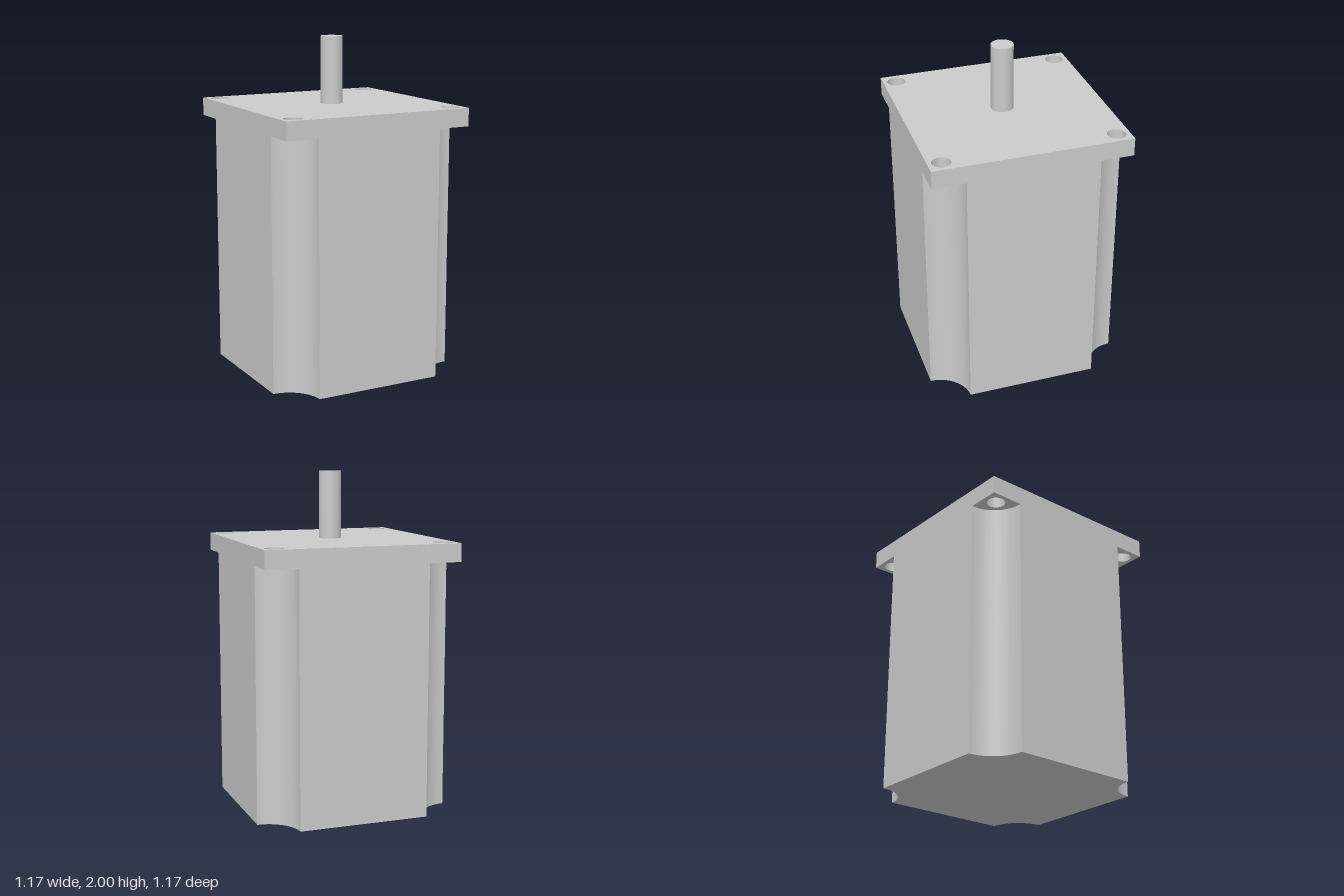
import * as THREE from 'three';
import { toCreasedNormals } from 'three/addons/utils/BufferGeometryUtils.js';

const HALF = 0.586;        // half width of body and flange
const NOTCH = 0.196;       // radius of the scooped corners
const HOLE_POS = 0.507, HOLE_R = 0.054;
const FLANGE_Y = 1.495, TOP_Y = 1.603;
const SHAFT_R = 0.066;
const CORNERS = [[1, 1], [-1, 1], [-1, -1], [1, -1]];

export function createModel() {
  const group = new THREE.Group();
  const material = new THREE.MeshStandardMaterial({ color: 0xcccccc });

  const add = (name, geometry, y) => {
    const mesh = new THREE.Mesh(geometry, material);
    mesh.name = name;
    mesh.position.y = y;
    group.add(mesh);
  };

  // Extrude a plan outline upwards, smooth on curves and sharp on edges
  const extrudeUp = (shape, height) => {
    const geometry = new THREE.ExtrudeGeometry(shape, { depth: height, bevelEnabled: false, curveSegments: 24 });
    geometry.rotateX(-Math.PI / 2);
    return toCreasedNormals(geometry, Math.PI / 6);
  };

  // Body: square column with a concave quarter circle cut from each corner
  const bodyShape = new THREE.Shape();
  bodyShape.moveTo(HALF, HALF - NOTCH);
  CORNERS.forEach(([sx, sy], i) => {
    const start = -Math.PI / 2 + i * Math.PI / 2;
    bodyShape.absarc(sx * HALF, sy * HALF, NOTCH, start, start - Math.PI / 2, true);
  });
  bodyShape.closePath();
  add('body', extrudeUp(bodyShape, FLANGE_Y), 0);

  // Mounting flange: square plate with four through holes
  const flangeShape = new THREE.Shape(CORNERS.map(([sx, sy]) => new THREE.Vector2(sx * HALF, sy * HALF)));
  for (const [sx, sy] of CORNERS) {
    const hole = new THREE.Path();
    hole.absarc(sx * HOLE_POS, sy * HOLE_POS, HOLE_R, 0, Math.PI * 2, true);
    flangeShape.holes.push(hole);
  }
  add('mountingFlange', extrudeUp(flangeShape, TOP_Y - FLANGE_Y), FLANGE_Y);

  // Output shaft
  const shaftHeight = 2 - TOP_Y;
  add('shaft', new THREE.CylinderGeometry(SHAFT_R, SHAFT_R, shaftHeight, 48), TOP_Y + shaftHeight / 2);

  return group;
}
